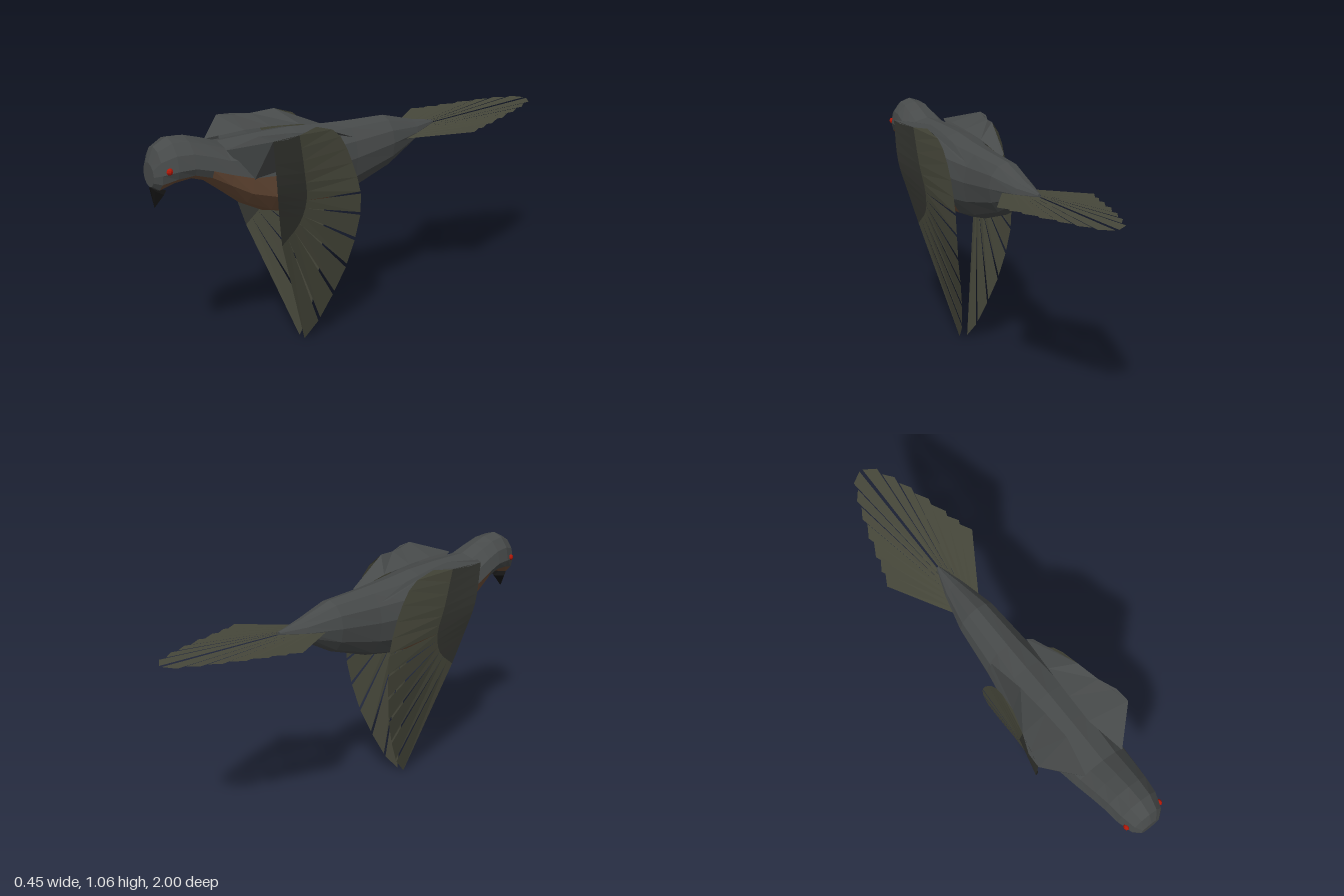
import * as THREE from 'three';
import { ConvexGeometry } from 'three/addons/geometries/ConvexGeometry.js';

const V = (x, y, z) => new THREE.Vector3(x, y, z);
const paint = (color, side = THREE.FrontSide) =>
  new THREE.MeshStandardMaterial({ color, side, flatShading: true });

const PLUMAGE = 0x474a4a, BREAST = 0x6b4d38, FEATHER = 0x46473a, COVERT = 0x33342f, BLACK = 0x121212, RED = 0xb01808;

// Mesh from a list of polygons, each fanned into triangles
function polyMesh(name, polygons, color, side) {
  const points = [];
  for (const p of polygons)
    for (let i = 1; i < p.length - 1; i++) points.push(p[0], p[i], p[i + 1]);
  const geometry = new THREE.BufferGeometry().setFromPoints(points);
  geometry.computeVertexNormals();
  const mesh = new THREE.Mesh(geometry, paint(color, side));
  mesh.name = name;
  return mesh;
}

// Strip of quads between two equally long rows of points
const strip = (a, b) => a.slice(1).map((_, i) => [a[i], a[i + 1], b[i + 1], b[i]]);

const sample = (points, n) => new THREE.CatmullRomCurve3(points).getPoints(n);

// Head, trunk and rump: one loft, split into back and breast colours
function createBody() {
  // z, top, widest height, bottom, half width
  const sections = [
    [0.995, 0.97, 0.92, 0.87, 0.045],
    [0.97, 1.03, 0.93, 0.85, 0.075],
    [0.91, 1.06, 0.94, 0.872, 0.096],
    [0.84, 1.053, 0.94, 0.88, 0.105],
    [0.77, 1.03, 0.92, 0.855, 0.114],
    [0.69, 1.0, 0.89, 0.79, 0.125],
    [0.6, 1.0, 0.86, 0.715, 0.135],
    [0.49, 1.0, 0.85, 0.655, 0.143],
    [0.34, 0.995, 0.84, 0.617, 0.143],
    [0.2, 0.98, 0.83, 0.627, 0.128],
    [0.07, 0.97, 0.83, 0.652, 0.106],
    [-0.14, 0.958, 0.85, 0.725, 0.088],
    [-0.3, 0.91, 0.86, 0.815, 0.05],
    [-0.42, 0.885, 0.875, 0.865, 0.008],
  ];
  const sides = 12;
  const rings = sections.map(([z, top, mid, bottom, w]) =>
    Array.from({ length: sides }, (_, k) => {
      const a = (k / sides) * Math.PI * 2;
      const c = Math.cos(a);
      return V(w * Math.sin(a), mid + c * (c > 0 ? top - mid : mid - bottom), z);
    }));
  const back = [], breast = [];
  for (let i = 0; i < rings.length - 1; i++)
    for (let k = 0; k < sides; k++) {
      const n = (k + 1) % sides;
      const low = i < 4 ? k >= 4 && k <= 7 : k >= 3 && k <= 8;
      (low && i >= 1 && i <= 8 ? breast : back).push(
        [rings[i][k], rings[i][n], rings[i + 1][n], rings[i + 1][k]]);
    }
  back.push([...rings[0]].reverse(), rings[rings.length - 1]);
  const body = new THREE.Group();
  body.name = 'body';
  body.add(polyMesh('back', back, PLUMAGE), polyMesh('breast', breast, BREAST));

  // Hooked beak
  const beak = new THREE.Mesh(new ConvexGeometry([
    V(0, 0.868, 0.992), V(0.026, 0.857, 0.985), V(-0.026, 0.857, 0.985),
    V(0.04, 0.84, 0.955), V(-0.04, 0.84, 0.955), V(0, 0.84, 0.925), V(0, 0.778, 0.98),
  ]), paint(BLACK));
  beak.name = 'beak';
  body.add(beak);
  return body;
}

// Everything on the bird's left; the right side is its mirror
function createSide() {
  const half = new THREE.Group();

  const eye = new THREE.Mesh(new THREE.SphereGeometry(0.014, 8, 6), paint(RED));
  eye.name = 'eye';
  eye.position.set(0.083, 0.945, 0.945);
  eye.scale.x = 0.75;
  half.add(eye);

  // Lowered wing: covert panel from leading edge to feather roots
  const n = 12;
  const leading = sample([V(0.225, 1.03, 0.565), V(0.217, 0.84, 0.548), V(0.182, 0.69, 0.52), V(0.145, 0.54, 0.487)], n);
  const roots = sample([V(0.19, 1.02, 0.42), V(0.177, 0.85, 0.39), V(0.157, 0.72, 0.37), V(0.145, 0.62, 0.4), V(0.145, 0.54, 0.487)], n);
  half.add(polyMesh('wingCoverts', strip(leading, roots), COVERT, THREE.DoubleSide));

  // Flight feathers, parted by slits towards the wing tip
  const tips = [
    V(0.163, 1.03, 0.32), V(0.152, 1.0, 0.235), V(0.147, 0.96, 0.19), V(0.143, 0.9, 0.155),
    V(0.14, 0.83, 0.125), V(0.14, 0.76, 0.1), V(0.14, 0.68, 0.08), V(0.135, 0.58, 0.08),
    V(0.12, 0.46, 0.1), V(0.095, 0.33, 0.13), V(0.065, 0.2, 0.18), V(0.037, 0.075, 0.24), V(0.02, 0, 0.305),
  ];
  const feathers = [];
  for (let i = 0; i < n; i++) {
    const slit = i > 4 && i < n - 1 ? 0.13 : 0;
    feathers.push([roots[i], roots[i + 1], tips[i + 1].clone().lerp(tips[i], slit), tips[i]]);
  }
  half.add(polyMesh('flightFeathers', feathers, FEATHER, THREE.DoubleSide));

  // Shoulder web joining the wing to the back
  const outer = [V(0.225, 1.03, 0.565), V(0.222, 1.025, 0.5), V(0.19, 1.02, 0.42), V(0.163, 1.03, 0.32), V(0.11, 0.93, 0.1)];
  const inner = [V(0.09, 0.985, 0.7), V(0.055, 1.0, 0.53), V(0.06, 0.99, 0.4), V(0.07, 0.97, 0.25), V(0.09, 0.92, 0.08)];
  const armpit = V(0.132, 0.85, 0.6);
  half.add(polyMesh('shoulder', [
    ...strip(outer, inner),
    [inner[0], armpit, outer[0]],
    [outer[0], armpit, V(0.135, 0.87, 0.35), outer[2]],
  ], PLUMAGE, THREE.DoubleSide));

  // Half of the fanned tail: inner and outer tip corner of each feather
  const tail = [
    [0.008, -1.0, 0.062, -0.965], [0.064, -0.93, 0.1, -0.885], [0.1, -0.85, 0.13, -0.8],
    [0.125, -0.77, 0.16, -0.71], [0.148, -0.69, 0.185, -0.62], [0.168, -0.61, 0.205, -0.55],
    [0.19, -0.545, 0.225, -0.48],
  ];
  const tailY = (z) => 0.872 + 0.018 * THREE.MathUtils.smoothstep(-z, 0.4, 1);
  const root = (t) => V(0.004 + 0.062 * t, 0.872 - 0.022 * t, -0.39 + 0.17 * t);
  half.add(polyMesh('tailFeathers', tail.map(([x1, z1, x2, z2], i) => [
    root(i / tail.length), V(x1, tailY(z1), z1), V(x2, tailY(z2), z2), root((i + 1) / tail.length),
  ]), FEATHER, THREE.DoubleSide));
  return half;
}

export function createModel() {
  const bird = new THREE.Group();
  bird.name = 'bird';
  const left = createSide(), right = createSide();
  left.name = 'leftSide';
  right.name = 'rightSide';
  right.scale.x = -1;
  bird.add(createBody(), left, right);
  return bird;
}
